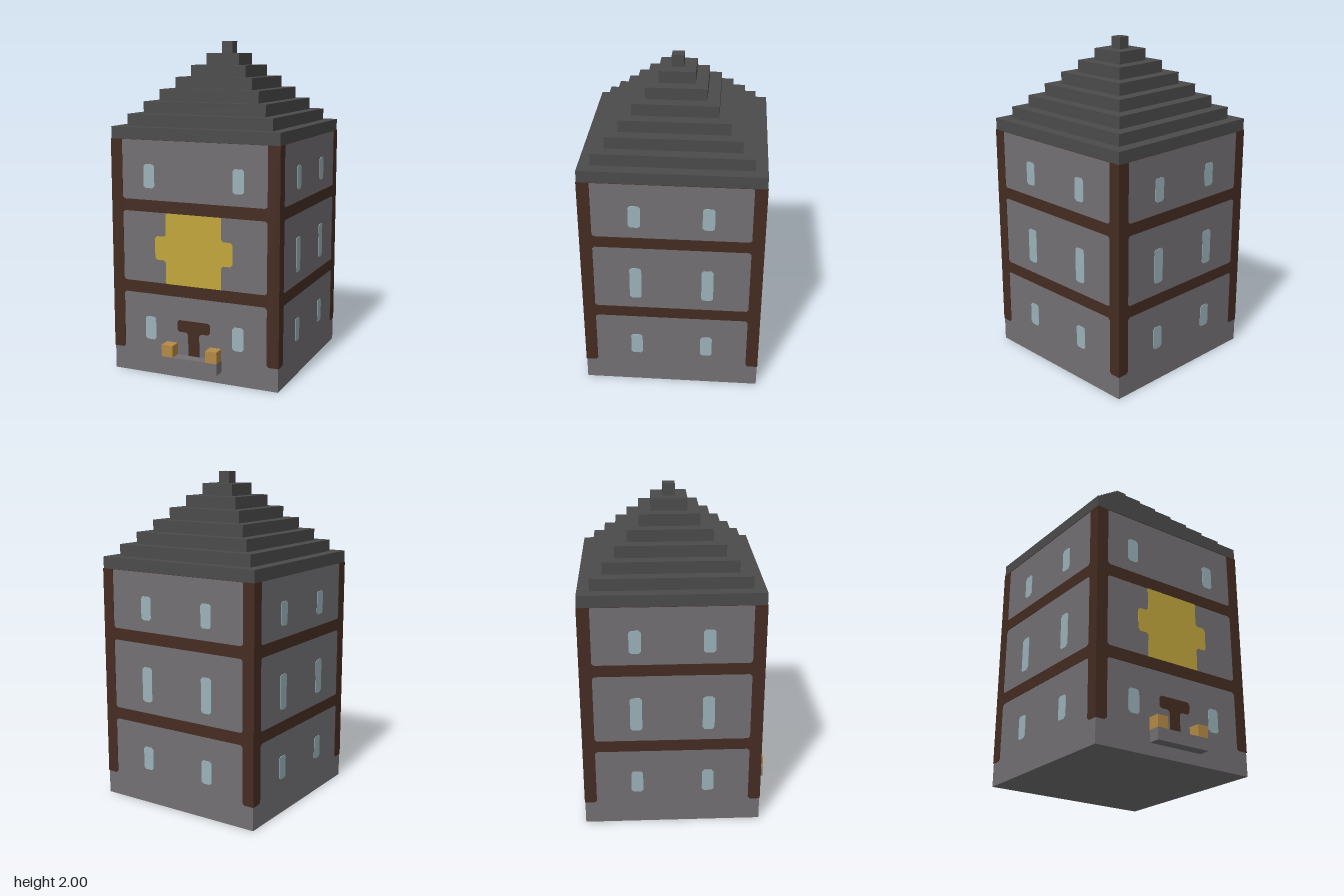
import * as THREE from 'three';

const U = 1 / 14;      // one block
const HALF = 7.5;      // half the tower width, in blocks
const CUT = 0.18;      // size of the cut corners, in blocks
const PLATE = 0.04;    // thickness of painted plates, in blocks

const mat = (name, color) => {
  const m = new THREE.MeshStandardMaterial({ color });
  m.name = name;
  return m;
};

// Corner list [x, y, square?] to a path; corners not marked square are cut
function cutPath(points, Type = THREE.Shape) {
  const out = [];
  points.forEach(([x, y, square], i) => {
    const p = new THREE.Vector2(x, y);
    if (square) return out.push(p);
    for (const j of [i - 1, i + 1]) {
      const n = points[(j + points.length) % points.length];
      const dir = new THREE.Vector2(n[0], n[1]).sub(p).normalize();
      out.push(p.clone().addScaledVector(dir, CUT));
    }
  });
  return new Type(out);
}

// Adds the mirror image in x of a right-hand outline
const mirrored = (half) => [...half, ...half.slice().reverse().map(([x, y, s]) => [-x, y, s])];

const rect = (x0, x1, y0, y1, squareTop) => [[x0, y0], [x1, y0], [x1, y1, squareTop], [x0, y1, squareTop]];

export function createModel() {
  const stone = mat('stone', 0x737074);
  const slate = mat('slate', 0x4b4b4b);
  const timber = mat('dark timber', 0x452c22);
  const glass = mat('window glass', 0x9ab2b9);
  const gold = mat('gold', 0xc2a63c);
  const wood = mat('light wood', 0xb58a45);

  const model = new THREE.Group();
  model.name = 'tower';
  model.scale.setScalar(U);

  const box = (name, material, w, h, d, x, y, z, parent = model) => {
    const mesh = new THREE.Mesh(new THREE.BoxGeometry(w, h, d), material);
    mesh.name = name;
    mesh.position.set(x, y, z);
    parent.add(mesh);
  };
  const plate = (name, material, shape, parent) => {
    const mesh = new THREE.Mesh(new THREE.ExtrudeGeometry(shape, { depth: PLATE, bevelEnabled: false }), material);
    mesh.name = name;
    mesh.position.z = HALF;
    parent.add(mesh);
  };

  // Main block, set back to leave room for the balcony
  const tower = new THREE.Group();
  tower.name = 'building';
  tower.position.z = -0.5;
  model.add(tower);
  box('walls', stone, 15, 20, 15, 0, 10, 0, tower);

  // Stepped roof
  for (let i = 0; i < 8; i++) box('roofStep', slate, 15 - 2 * i, 1, 15 - 2 * i, 0, 20.5 + i, 0, tower);

  // Timber frame: corner posts and two floor bands around open panels
  const edge = HALF + PLATE, inner = HALF - 1;
  const frame = cutPath(mirrored([[inner, 7], [inner, 2], [edge, 2, true], [edge, 20, true]]));
  frame.holes.push(
    cutPath(rect(-inner, inner, 8, 14), THREE.Path),
    cutPath(rect(-inner, inner, 15, 19.99, true), THREE.Path)
  );

  // Four walls, the front one first
  const wallNames = ['frontWall', 'leftWall', 'backWall', 'rightWall'];
  wallNames.forEach((name, i) => {
    const wall = new THREE.Group();
    wall.name = name;
    wall.rotation.y = i * Math.PI / 2;
    tower.add(wall);
    plate('timberFrame', timber, frame, wall);

    const front = i === 0;
    const floors = front ? [[3, 5], [16, 18]] : [[3, 5], [9, 12], [16, 18]];
    for (const [y0, y1] of floors) {
      for (const side of [-1, 1]) {
        const x = side * (front ? 4 : 3);
        plate('window', glass, cutPath(rect(x - 0.5, x + 0.5, y0, y1)), wall);
      }
    }
    if (front) {
      plate('goldPanel', gold, cutPath(mirrored([
        [2.5, 8, true], [2.5, 10], [3.5, 10], [3.5, 12], [2.5, 12], [2.5, 14, true]
      ])), wall);
      plate('doorway', timber, cutPath(mirrored([
        [0.5, 2, true], [0.5, 4], [1.5, 4], [1.5, 5]
      ])), wall);
    }
  });

  // Entrance ledge with a block at each end
  box('ledge', stone, 5, 1, 1, 0, 1.5, 7.5);
  for (const side of [-1, 1]) box('ledgeBlock', wood, 1, 1, 1, side * 2, 2.5, 7.5);

  return model;
}
